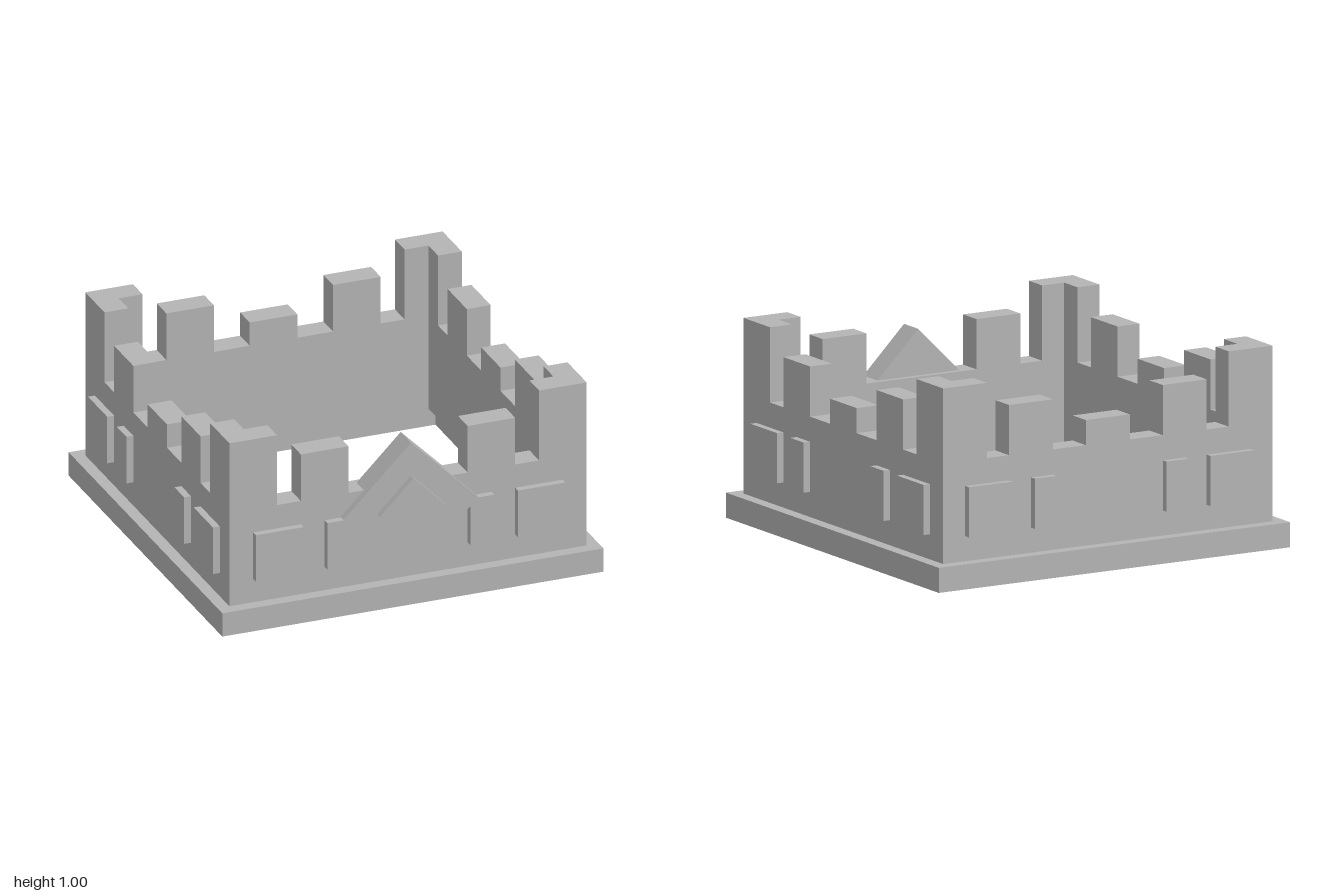
import * as THREE from 'three';

const U = 0.0622;        // one building module
const CENTER_Z = -0.005; // the front emblem pushes the walls slightly back

const stone = new THREE.MeshStandardMaterial({ color: 0xb4b4b4 });
stone.name = 'greyStone';

function addMesh(parent, name, geometry) {
  const mesh = new THREE.Mesh(geometry, stone);
  mesh.name = name;
  parent.add(mesh);
  return mesh;
}

function extrude(shape, depth) {
  return new THREE.ExtrudeGeometry(shape, { depth, bevelEnabled: false });
}

function square(PathType, half) {
  return new PathType([[-1, -1], [1, -1], [1, 1], [-1, 1]]
    .map(([x, y]) => new THREE.Vector2(x * half, y * half)));
}

// Stepped battlement outline in modules; merlons rise towards the corners
function wallShape(half, withMiddle) {
  const right = [[5, 10], [5, 14], [9, 14], [9, 10], [11, 10], [11, 16], [half, 16], [half, 2]];
  if (withMiddle) right.unshift([2, 12], [2, 10]);
  const left = right.map(([x, y]) => [-x, y]).reverse();
  return new THREE.Shape([...left, ...right].map(([x, y]) => new THREE.Vector2(x * U, y * U)));
}

// One side of the castle, built facing +z
function buildSide(name, half, withMiddle) {
  const side = new THREE.Group();
  side.name = name;
  addMesh(side, 'battlementWall', extrude(wallShape(half, withMiddle), 2 * U))
    .position.z = 13 * U;

  // Raised panels: a wide and a narrow one on each half
  const depth = 0.036;
  for (const s of [-1, 1]) {
    for (const [label, x, width] of [['widePanel', 11, 4], ['narrowPanel', 6, 2]]) {
      addMesh(side, label, new THREE.BoxGeometry(width * U, 4 * U, depth))
        .position.set(s * x * U, 6 * U, 15 * U + depth / 2);
    }
  }
  return side;
}

// Diamond block standing on one corner
function addDiamond(parent, name, size, back, front) {
  const mesh = addMesh(parent, name, new THREE.BoxGeometry(size, size, front - back));
  mesh.rotation.z = Math.PI / 4;
  mesh.position.set(0, 8.05 * U, (front + back) / 2);
}

export function createModel() {
  const model = new THREE.Group();
  model.name = 'castleWalls';

  const castle = new THREE.Group();
  castle.name = 'castle';
  castle.position.z = CENTER_Z;
  model.add(castle);

  // Open square plinth
  const frame = square(THREE.Shape, 16 * U);
  frame.holes.push(square(THREE.Path, 14 * U));
  addMesh(castle, 'plinth', extrude(frame, 2 * U)).rotation.x = -Math.PI / 2;

  // Four sides; the left and right walls fit between the front and back ones
  ['frontSide', 'leftSide', 'backSide', 'rightSide'].forEach((name, i) => {
    const side = buildSide(name, i % 2 ? 13 : 15, i !== 0);
    side.rotation.y = i * Math.PI / 2;
    castle.add(side);
  });

  // Front emblem
  const emblem = new THREE.Group();
  emblem.name = 'diamondEmblem';
  addDiamond(emblem, 'largeDiamond', 8 * U, 0.833, 0.966);
  addDiamond(emblem, 'smallDiamond', 4 * U, 0.9, 1.0);
  model.add(emblem);

  return model;
}
